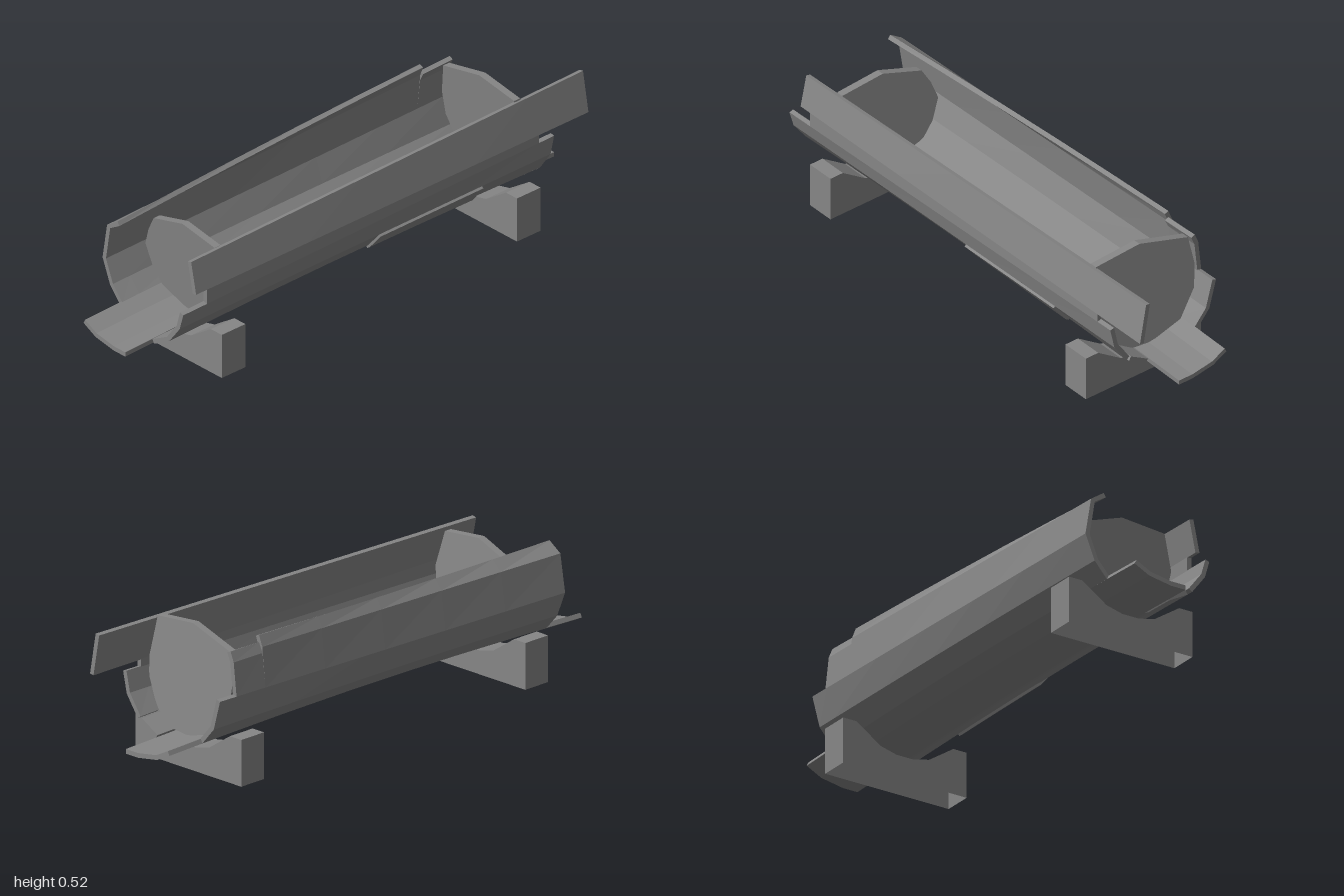
import * as THREE from 'three';

const material = new THREE.MeshStandardMaterial({ color: 0x868686, flatShading: true, side: THREE.DoubleSide });

// Hull outline from left rim, under the bottom, to right rim:
// [front x, front y, back x, back y, optional sideways bow at mid length]
const L0 = [-0.168, 0.472, -0.212, 0.515, -0.014], L1 = [-0.225, 0.437, -0.231, 0.475];
const L2 = [-0.248, 0.30, -0.245, 0.33], L3 = [-0.21, 0.205, -0.215, 0.22];
const B0 = [-0.16, 0.145, -0.16, 0.152], B1 = [-0.10, 0.115, -0.10, 0.122];
const B2 = [-0.01, 0.10, -0.01, 0.107], B3 = [0.05, 0.10, 0.05, 0.107];
const R0 = [0.065, 0.106, 0.065, 0.112], R1 = [0.14, 0.147, 0.14, 0.155];
const R2 = [0.152, 0.157, 0.152, 0.165], R3 = [0.205, 0.23, 0.205, 0.245];
const R4 = [0.223, 0.293, 0.223, 0.325], R5 = [0.223, 0.35, 0.223, 0.355];
const R6 = [0.198, 0.468, 0.196, 0.504];

function add(group, name, geometry) {
  const mesh = new THREE.Mesh(geometry, material);
  mesh.name = name;
  group.add(mesh);
  return mesh;
}

// Outline at depth z, the underside arching up slightly towards the middle
function outlineAt(points, z) {
  const u = (0.85 - z) / 1.7;
  return points.map(([fx, fy, bx, by, bow = 0]) => {
    const y = fy + (by - fy) * u;
    const lift = y < 0.25 ? 0.018 * (1 - z * z) * Math.min(1, (0.25 - y) / 0.1) : 0;
    return new THREE.Vector2(fx + (bx - fx) * u + bow * (1 - z * z), y + lift);
  });
}

// Thick curved plank lofted along z; shift moves it outwards
function plank(points, zFront, zBack, thickness = 0.017, shift = 0) {
  const steps = Math.max(1, Math.ceil((zFront - zBack) / 0.3));
  const rings = [];
  for (let s = 0; s <= steps; s++) {
    const z = zFront + (zBack - zFront) * s / steps;
    const line = outlineAt(points, z);
    const normals = line.map((p, i) => {
      const a = line[Math.max(0, i - 1)], b = line[Math.min(line.length - 1, i + 1)];
      return new THREE.Vector2(a.y - b.y, b.x - a.x).normalize();
    });
    const outer = line.map((p, i) => p.clone().addScaledVector(normals[i], -shift));
    const inner = line.map((p, i) => p.clone().addScaledVector(normals[i], thickness - shift));
    rings.push([...outer, ...inner.reverse()].map(p => [p.x, p.y, z]));
  }
  const pos = [];
  const quad = (a, b, c, d) => pos.push(...a, ...b, ...c, ...a, ...c, ...d);
  const n = rings[0].length;
  for (let s = 0; s < steps; s++) {
    for (let i = 0; i < n; i++) {
      const j = (i + 1) % n;
      quad(rings[s][i], rings[s + 1][i], rings[s + 1][j], rings[s][j]);
    }
  }
  const first = rings[0], last = rings[steps];
  for (let i = 0; i < n / 2 - 1; i++) {
    quad(first[i], first[i + 1], first[n - 2 - i], first[n - 1 - i]);
    quad(last[n - 1 - i], last[n - 2 - i], last[i + 1], last[i]);
  }
  const g = new THREE.BufferGeometry();
  g.setAttribute('position', new THREE.Float32BufferAttribute(pos, 3));
  g.computeVertexNormals();
  return g;
}

// Flat bulkhead plate, leaning and slightly skewed
function bulkhead(points, z) {
  const shape = new THREE.Shape(points.map(p => new THREE.Vector2(...p)));
  const g = new THREE.ExtrudeGeometry(shape, { depth: 0.028, bevelEnabled: false });
  const p = g.attributes.position;
  for (let i = 0; i < p.count; i++) {
    p.setZ(i, p.getZ(i) + z + 0.06 * p.getX(i) + 0.1 * (p.getY(i) - 0.48));
  }
  g.computeVertexNormals();
  return g;
}

// Cradle block with a faceted hollow on top and an open underside
function cradle(depth) {
  const half = [[0.035, 0.087], [0.1, 0.103], [0.2, 0.17], [0.255, 0.17], [0.255, 0]];
  const mirrored = half.map(([x, y]) => [-x, y]).reverse();
  const shape = new THREE.Shape([...mirrored, ...half].map(p => new THREE.Vector2(...p)));
  const g = new THREE.ExtrudeGeometry(shape, { depth, bevelEnabled: false });
  g.translate(0, 0, -depth / 2);
  const p = g.attributes.position, kept = [];
  for (let i = 0; i < p.count; i += 3) {
    const onFloor = [0, 1, 2].every(k => p.getY(i + k) < 0.001);
    if (onFloor) continue;
    for (let k = 0; k < 3; k++) kept.push(p.getX(i + k), p.getY(i + k), p.getZ(i + k));
  }
  const open = new THREE.BufferGeometry();
  open.setAttribute('position', new THREE.Float32BufferAttribute(kept, 3));
  open.computeVertexNormals();
  return open;
}

export function createModel() {
  const model = new THREE.Group();
  model.name = 'hollowLogTrough';

  // Main shell and its uneven broken ends
  add(model, 'shell', plank([L2, L3, B0, B1, B2, B3, R0, R1, R2, R3, R4], 0.75, -0.75));
  const ends = [
    ['leftStave', [L2, L3, B0], 0.83, -0.84],
    ['bottomStave', [B0, B1, B2, B3], 1, -1],
    ['lowerRightStave', [R0, R1], 0.88, -0.84],
    ['rightStave', [R2, R3, R4], 0.89, -0.84],
  ];
  for (const [name, points, front, back] of ends) {
    add(model, name + 'FrontEnd', plank(points, front, 0.75));
    add(model, name + 'BackEnd', plank(points, -0.75, back));
  }

  // Upper walls
  add(model, 'leftWall', plank([L0, L1, L2], 0.83, -0.62));
  const lowRim = [-0.19, 0.46, -0.218, 0.487], lowShoulder = [-0.225, 0.435, -0.232, 0.45];
  add(model, 'leftWallBackStep', plank([lowRim, lowShoulder, L2], -0.62, -0.76));
  add(model, 'rightWallLower', plank([R4, R5], 0.78, -0.77));
  add(model, 'rightWall', plank([R5, R6], 0.83, -1));

  // Patch on the lower right side
  add(model, 'sidePatch', plank([R1, R2, R3], -0.04, -0.52, 0.034, 0.009));

  // Bulkheads closing the trough
  add(model, 'frontBulkhead', bulkhead([
    [-0.16, 0.43], [-0.195, 0.37], [-0.22, 0.30], [-0.19, 0.22], [-0.145, 0.165], [-0.01, 0.125],
    [0.06, 0.13], [0.14, 0.17], [0.19, 0.25], [0.205, 0.33], [0.17, 0.46], [0, 0.48]], 0.659));
  add(model, 'backBulkhead', bulkhead([
    [-0.20, 0.473], [-0.22, 0.36], [-0.21, 0.27], [-0.145, 0.17], [-0.02, 0.13],
    [0.06, 0.135], [0.15, 0.19], [0.2, 0.29], [0.205, 0.36], [0.185, 0.505], [0, 0.525]], -0.73));

  // Two cradles
  for (const [name, z] of [['frontCradle', 0.685], ['backCradle', -0.692]]) {
    add(model, name, cradle(0.11)).position.z = z;
  }
  return model;
}
